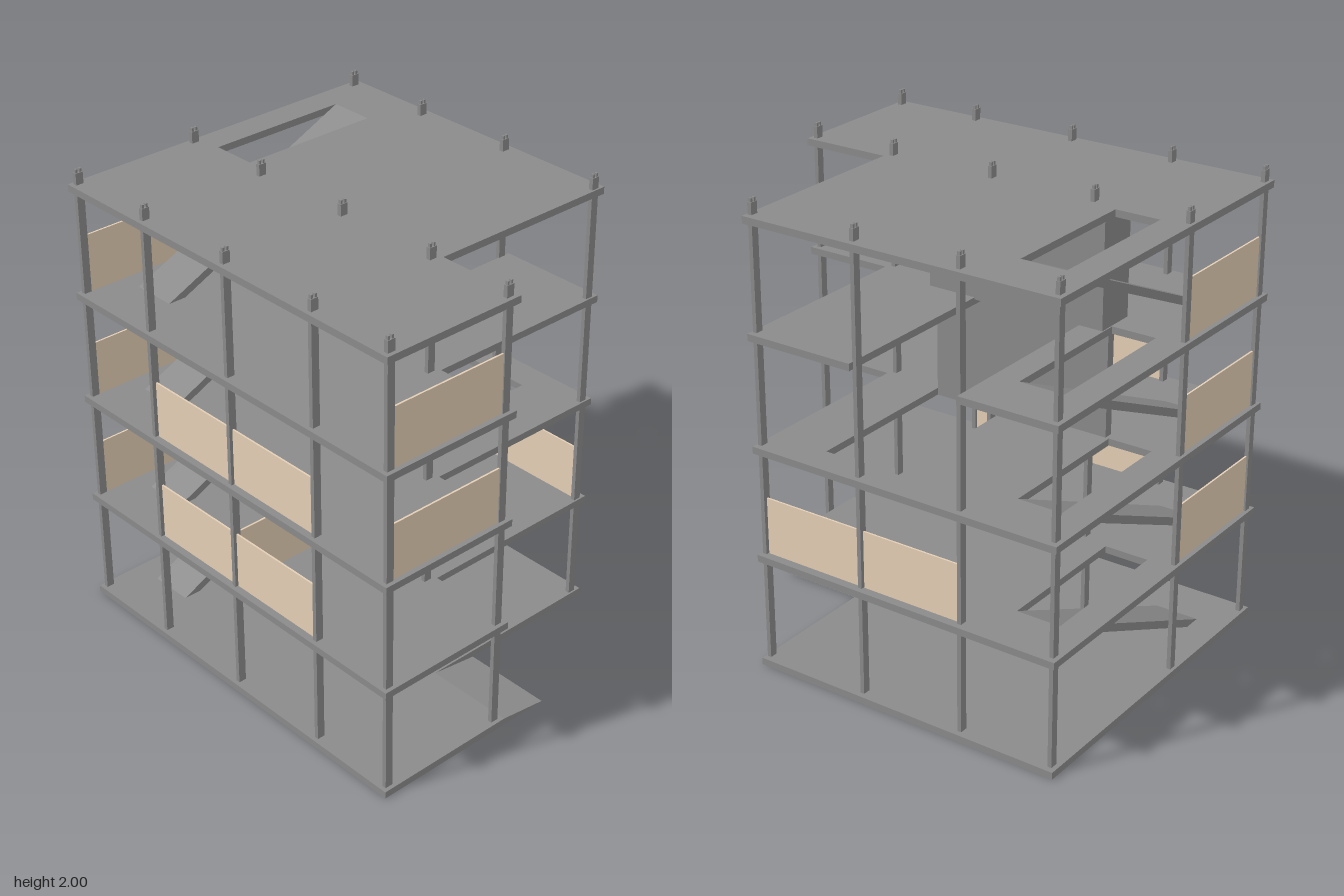
import * as THREE from 'three';

const grey = new THREE.MeshStandardMaterial({ color: 0x8a8a8a, flatShading: true });
const tan = new THREE.MeshStandardMaterial({ color: 0xe4ceb5, flatShading: true });
const SLAB = 0.03;
const LEVELS = [0, 0.477, 0.956, 1.432, 1.906]; // underside of each floor slab
const STAIR_Z = [-0.775, -0.58];

export function createModel() {
  const model = new THREE.Group();

  const add = (name, geometry, material = grey) => {
    const mesh = new THREE.Mesh(geometry, material);
    mesh.name = name;
    model.add(mesh);
    return mesh;
  };

  // Box given by its min and max on each axis
  const box = (name, x0, x1, y0, y1, z0, z1, material) =>
    add(name, new THREE.BoxGeometry(x1 - x0, y1 - y0, z1 - z0), material)
      .position.set((x0 + x1) / 2, (y0 + y1) / 2, (z0 + z1) / 2);

  // Plan points are [x, z]
  const plan = (points) => points.map(([x, z]) => new THREE.Vector2(x, -z));
  const opening = (x0, x1, z0, z1) =>
    new THREE.Path(plan([[x0, z0], [x1, z0], [x1, z1], [x0, z1]]));

  // Side profile in x, y pulled along z
  const sideExtrude = (name, profile, z0, z1, y) => {
    const shape = new THREE.Shape(profile.map(([px, py]) => new THREE.Vector2(px, py)));
    const geometry = new THREE.ExtrudeGeometry(shape, { depth: z1 - z0, bevelEnabled: false });
    add(name, geometry).position.set(0, y, z0);
  };

  // Floor slabs, stepped at the front, with stair openings
  LEVELS.forEach((y, i) => {
    const bay = i === 3 ? [[0.753, 0.02], [-0.11, 0.02], [-0.11, -0.47], [0.753, -0.47]] : [];
    const shape = new THREE.Shape(plan([
      [-0.753, -0.903], [-0.753, 0.903], [-0.11, 0.903], [-0.11, 0.511], [0.753, 0.511],
      ...bay, [0.753, -0.903],
    ]));
    if (i > 0) shape.holes.push(opening(-0.11, 0.535, ...STAIR_Z));
    if (i === 2) shape.holes.push(opening(-0.11, 0.62, -0.1, 0.25));
    const geometry = new THREE.ExtrudeGeometry(shape, { depth: SLAB, bevelEnabled: false });
    geometry.rotateX(-Math.PI / 2);
    add(i === 4 ? 'roofSlab' : 'floorSlab', geometry).position.y = y;
  });

  // Columns, each ending in two small prongs above the roof
  for (const x of [-0.718, -0.148, 0.711]) {
    for (const row of [-0.88, -0.464, 0.008, 0.488, 0.877]) {
      if (x > 0 && row > 0.5) continue;
      const z = x > 0 ? row + 0.006 : row;
      box('column', x - 0.017, x + 0.017, 0, 1.985, z - 0.009, z + 0.009);
      for (const s of [-1, 1]) {
        const px = x + s * 0.009;
        box('columnProng', px - 0.0045, px + 0.0045, 1.985, 2, z - 0.006, z + 0.006);
      }
    }
  }

  // Sloping stair flights
  for (let i = 0; i < 4; i++) {
    const rise = LEVELS[i + 1] - LEVELS[i];
    sideExtrude('stairFlight',
      [[-0.54, 0], [-0.46, 0], [0.535, rise - SLAB], [0.535, rise], [0.52, rise]],
      ...STAIR_Z, LEVELS[i] + SLAB);
  }

  // Entrance ramp in the front corner
  sideExtrude('entranceRamp', [[-0.11, 0], [0.107, 0], [-0.11, SLAB]], 0.511, 0.903, 0);

  // Inner core walls
  box('coreWall', -0.15, -0.11, 0.986, 1.433, -0.565, 0.25);
  box('upperCore', -0.23, -0.048, 1.453, 1.907, -0.575, 0.24);

  // Tan parapet panels between columns
  const panelX = (level, z, height) => {
    const y = LEVELS[level] + SLAB;
    box('parapetPanel', -0.701, -0.165, y, y + height, z - 0.004, z + 0.004, tan);
  };
  const panelZ = (level, x) => {
    const y = LEVELS[level] + SLAB;
    for (const [z0, z1] of [[-0.45, 0.002], [0.018, 0.482]])
      box('parapetPanel', x - 0.004, x + 0.004, y, y + 0.246, z0, z1, tan);
  };
  for (const level of [1, 2, 3]) panelX(level, -0.877, level === 2 ? 0.24 : 0.25);
  for (const level of [2, 3]) panelX(level, 0.877, level === 2 ? 0.24 : 0.25);
  panelX(1, 0.01, 0.25);
  panelZ(1, 0.711);
  panelZ(1, -0.718);
  panelZ(2, -0.718);

  return model;
}
